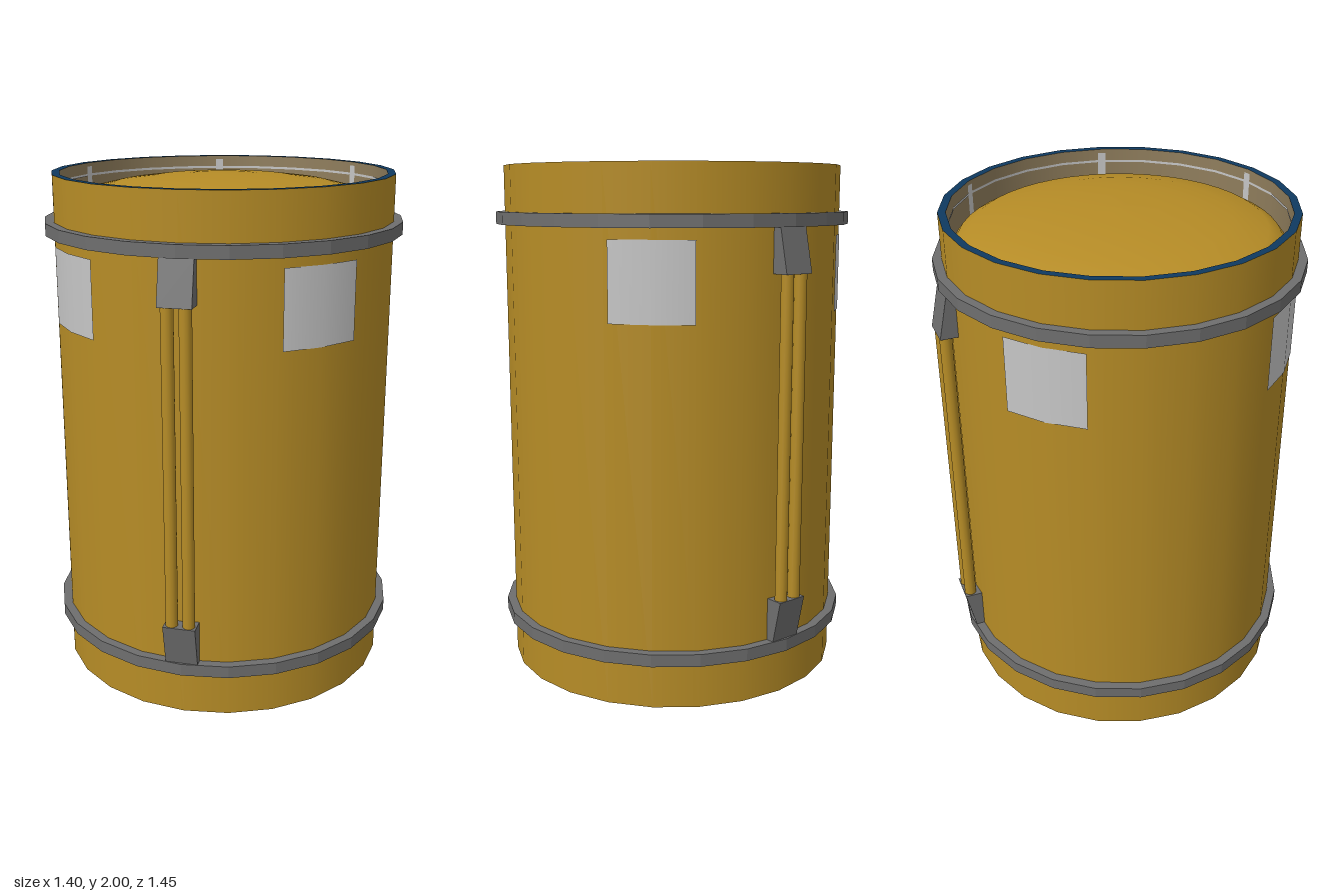
import * as THREE from 'three';

const SIDES = 24;
const mat = (name, color) => Object.assign(new THREE.MeshStandardMaterial({ color }), { name });
const rad = THREE.MathUtils.degToRad;

// Turned surface from [radius, y] points; start and sweep in degrees
function turned(points, sides = SIDES, start = 0, sweep = 360) {
  return new THREE.LatheGeometry(points.map(p => new THREE.Vector2(...p)), sides, rad(start), rad(sweep));
}

function faceted(geometry) {
  const g = geometry.toNonIndexed();
  g.computeVertexNormals();
  return g;
}

export function createModel() {
  const gold = mat('gold paint', 0xb68c26);
  const steel = mat('grey steel', 0x6e6e6e);
  const blue = mat('dark blue rim', 0x0f3a60);
  const label = mat('light grey label', 0xc6c6c6);
  const lining = mat('dull brown lining', 0x8f7d5c);

  const model = new THREE.Group();
  model.name = 'canister';
  const add = (parent, name, geometry, material) => {
    const mesh = new THREE.Mesh(geometry, material);
    mesh.name = name;
    parent.add(mesh);
    return mesh;
  };

  add(model, 'barrel', turned([[0.665, 0], [0.665, 2]]), gold);

  // Two identical ends, each with a rim, recessed dome and marked lining
  for (const side of [1, -1]) {
    const end = new THREE.Group();
    end.name = side > 0 ? 'topEnd' : 'bottomEnd';
    end.position.y = 1;
    if (side < 0) end.rotation.x = Math.PI;
    model.add(end);

    add(end, 'rim', faceted(turned([[0.665, 1], [0.635, 1]])), blue);
    add(end, 'lining', turned([[0.635, 1], [0.635, 0.8]]), lining);
    add(end, 'dome', turned([
      [0.637, 0.83], [0.625, 0.862], [0.6, 0.895], [0.55, 0.924],
      [0.42, 0.955], [0.28, 0.974], [0.14, 0.984], [0, 0.987],
    ], 48), gold);
    add(end, 'liningLine', turned([[0.632, 0.956], [0.632, 0.947]]), label);
    for (let a = 15; a < 360; a += 60) {
      add(end, 'liningMark', turned([[0.632, 0.985], [0.632, 0.86]], 1, a - 1.4, 2.8), label);
    }

    // Raised band around the barrel
    add(end, 'band', faceted(turned([
      [0.655, 0.775], [0.7, 0.775], [0.7, 0.823], [0.655, 0.823],
    ])), steel);
  }

  // Four curved labels on the diagonals
  for (let a = 45; a < 360; a += 90) {
    add(model, 'label', turned([[0.668, 1.44], [0.668, 1.735]], 2, a - 13.5, 27), label);
  }

  // Wedge bracket profile in (z, y), extruded across x
  const wedge = new THREE.Shape([
    [0.64, 1.61], [0.725, 1.61], [0.69, 1.775], [0.64, 1.775],
  ].map(p => new THREE.Vector2(...p)));
  const bracket = new THREE.ExtrudeGeometry(wedge, { depth: 0.126, bevelEnabled: false });
  bracket.translate(0, -1, -0.063);
  bracket.rotateY(-Math.PI / 2);

  // Twin rods held by brackets, front and back
  for (const turn of [0, Math.PI]) {
    const rail = new THREE.Group();
    rail.name = turn ? 'backRail' : 'frontRail';
    rail.position.y = 1;
    rail.rotation.y = turn;
    model.add(rail);
    for (const x of [-0.033, 0.033]) {
      add(rail, 'rod', new THREE.CylinderGeometry(0.024, 0.024, 1.24, 12), gold).position.set(x, 0, 0.698);
    }
    add(rail, 'upperBracket', bracket, steel);
    // Half turn about z flips the wedge downward
    add(rail, 'lowerBracket', bracket, steel).rotation.z = Math.PI;
  }

  return model;
}
